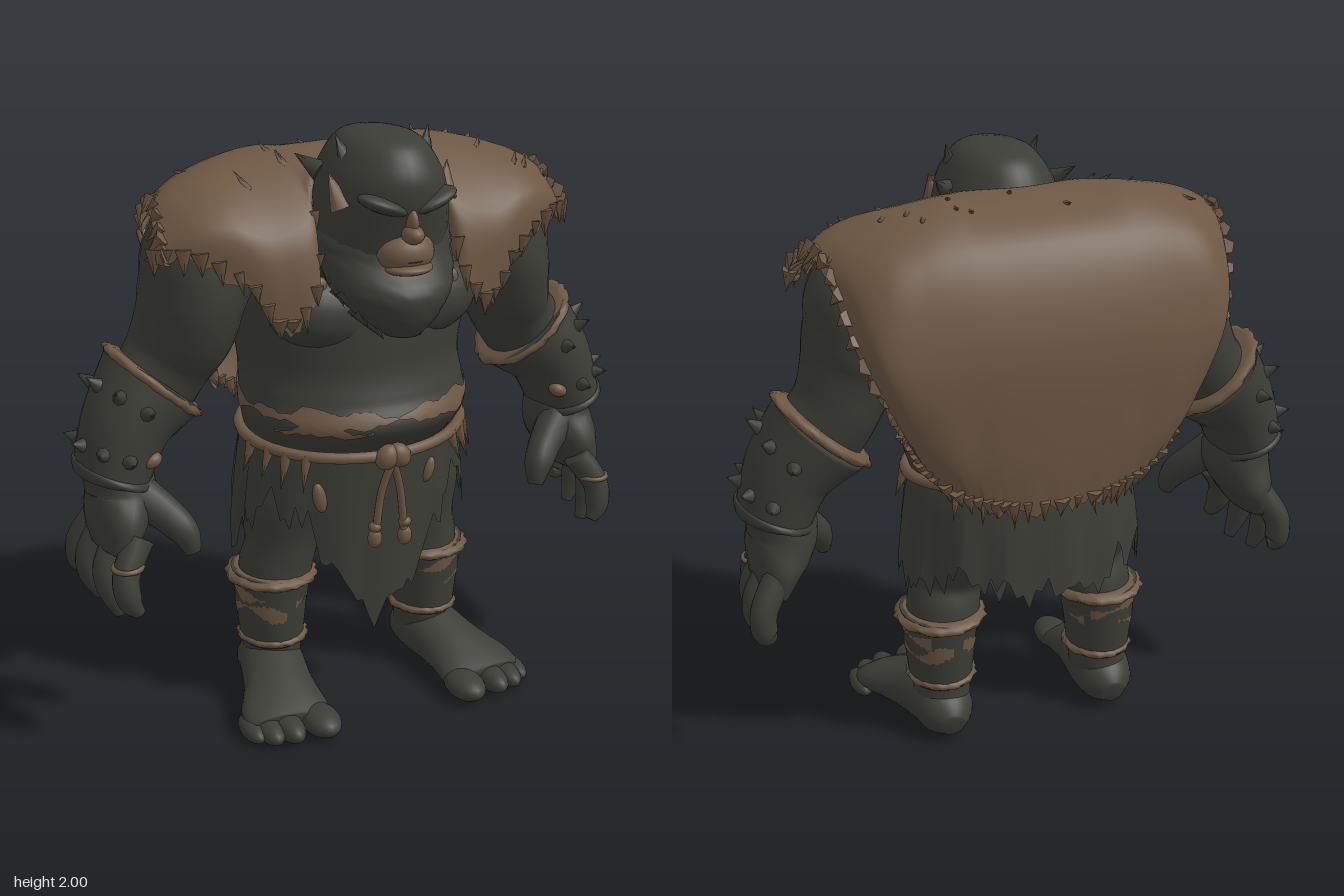
import * as THREE from 'three';
import { mergeGeometries } from 'three/addons/utils/BufferGeometryUtils.js';

const V = (x, y, z) => new THREE.Vector3(x, y, z);
const hash = (i) => { const s = Math.sin(i * 127.1 + 3.7) * 43758.5453; return s - Math.floor(s); };

// smooth value along rows of numbers, f in 0..1
function spline(rows, f) {
  const n = rows.length - 1, k = Math.min(Math.floor(f * n), n - 1), t = f * n - k;
  const at = (i) => rows[Math.max(0, Math.min(n, i))];
  const [a, b, c, d] = [at(k - 1), at(k), at(k + 1), at(k + 2)];
  return b.map((_, i) => 0.5 * (2 * b[i] + (c[i] - a[i]) * t + (2 * a[i] - 5 * b[i] + 4 * c[i] - d[i]) * t * t
    + (3 * b[i] - a[i] - 3 * c[i] + d[i]) * t * t * t));
}

// frame of a section: centre, side and front axes, radii; sections on the middle line stay level
function frame(rows, f) {
  const e = 0.01, c = spline(rows, f), p = spline(rows, Math.max(0, f - e)), q = spline(rows, Math.min(1, f + e));
  const t = V(q[0] - p[0], q[1] - p[1], q[2] - p[2]).normalize();
  if (Math.abs(c[0]) < 1e-6) t.set(0, Math.sign(t.y), 0);
  const u = V(1, 0, 0).addScaledVector(t, -t.x).normalize();
  return { c: V(c[0], c[1], c[2]), u, v: t.clone().cross(u), ru: c[3], rv: c[4] };
}
const onRing = (F, a, k = 1) => F.c.clone().addScaledVector(F.u, Math.cos(a) * F.ru * k).addScaledVector(F.v, Math.sin(a) * F.rv * k);

function surface(pos, idx) {
  const g = new THREE.BufferGeometry();
  g.setAttribute('position', new THREE.Float32BufferAttribute(pos, 3));
  g.setIndex(idx);
  g.computeVertexNormals();
  return g;
}

// closed skin over elliptical sections [x, y, z, ru, rv]
function loft(rows, { n = 24, seg = 24, rough = 0 } = {}) {
  const pos = [], idx = [], C = (seg + 1) * n;
  for (let i = 0; i <= seg; i++) {
    const F = frame(rows, i / seg);
    for (let j = 0; j < n; j++) pos.push(...onRing(F, j / n * Math.PI * 2, 1 + rough * (hash(i * n + j) - 0.5)).toArray());
  }
  pos.push(...rows[0].slice(0, 3), ...rows[rows.length - 1].slice(0, 3));
  for (let j = 0; j < n; j++) {
    const k = (j + 1) % n;
    for (let i = 0; i < seg; i++) {
      const a = i * n + j, b = i * n + k;
      idx.push(a, b, a + n, b, b + n, a + n);
    }
    idx.push(C, k, j, C + 1, seg * n + j, seg * n + k);
  }
  return surface(pos, idx);
}

// open sheet from a point rule over two parameters
function sheet(fn, nu, nv) {
  const pos = [], idx = [];
  for (let i = 0; i <= nu; i++) for (let j = 0; j <= nv; j++) pos.push(...fn(i / nu, j / nv, i));
  for (let i = 0; i < nu; i++) for (let j = 0; j < nv; j++) {
    const a = i * (nv + 1) + j, b = a + nv + 1;
    idx.push(a, a + 1, b, b, a + 1, b + 1);
  }
  return surface(pos, idx);
}

// ragged strip of hide lying on a loft: angles a0 to a1, middle height mid(a), half height half(a)
function strip(rows, a0, a1, mid, half) {
  const up = Math.sign(rows[rows.length - 1][1] - rows[0][1]);
  return sheet((u, v, i) => {
    const a = a0 + (a1 - a0) * u, y = mid(a) + (v - 0.5) * 2 * Math.max(0.003, half(a)) + 0.012 * (hash(i * 3 + Math.round(v)) - 0.5);
    let lo = 0, hi = 1;
    for (let k = 0; k < 16; k++) {
      const m = (lo + hi) / 2;
      if ((spline(rows, m)[1] - y) * up < 0) lo = m; else hi = m;
    }
    return onRing(frame(rows, lo), a, 1.015).toArray();
  }, Math.ceil((a1 - a0) * 16), 4);
}

// merged cones from base point p to tip q with radius r
function spikes(list, sides = 6) {
  return mergeGeometries(list.map(([p, q, r]) => {
    const d = q.clone().sub(p), g = new THREE.ConeGeometry(r, d.length(), sides);
    g.applyQuaternion(new THREE.Quaternion().setFromUnitVectors(V(0, 1, 0), d.clone().normalize()));
    return g.translate((p.x + q.x) / 2, (p.y + q.y) / 2, (p.z + q.z) / 2);
  }));
}
const ball = (x, y, z, a, b, c, rz = 0) => new THREE.SphereGeometry(1, 20, 14).scale(a, b, c).rotateZ(rz).translate(x, y, z);
const pair = (fn) => mergeGeometries([-1, 1].map(fn));

export function createModel() {
  const model = new THREE.Group();
  const dark = new THREE.MeshStandardMaterial({ color: 0x3c3d36, side: THREE.DoubleSide });
  dark.name = 'dark hide';
  const brown = new THREE.MeshStandardMaterial({ color: 0x6d5743, side: THREE.DoubleSide });
  brown.name = 'brown fur';
  const add = (name, geo, mat) => { const m = new THREE.Mesh(geo, mat); m.name = name; model.add(m); };

  // torso with a worn hide band around the belly
  const torso = [[0.78, -0.08, 0.3, 0.22], [0.92, -0.06, 0.35, 0.27], [1.04, -0.02, 0.385, 0.335], [1.13, -0.04, 0.385, 0.325], [1.22, -0.06, 0.38, 0.32],
    [1.35, -0.06, 0.405, 0.315], [1.5, -0.07, 0.44, 0.31], [1.62, -0.08, 0.42, 0.26], [1.71, -0.08, 0.32, 0.18], [1.76, -0.06, 0.15, 0.1]]
    .map(([y, z, a, b]) => [0, y, z, a, b]);
  add('torso', loft(torso, { n: 72, seg: 70 }), dark);
  add('bellyBand', strip(torso, 0, Math.PI * 2, (a) => 1.1 + 0.015 * Math.sin(a), (a) => 0.022 + 0.012 * Math.sin(a * 5) + 0.008 * Math.sin(a * 13)), brown);
  add('bandRemnant', strip(torso, 3.6, 4.5, (a) => 1.05 - 0.01 * Math.sin(a * 9), (a) => 0.018 * Math.sin((a - 3.6) * 3.5)), brown);
  add('chest', pair((s) => ball(s * 0.17, 1.42, 0.13, 0.2, 0.13, 0.125, s * 0.15)), dark);
  add('chestPatches', mergeGeometries([[0.21, 1.555, 0.19, 0.04], [0.24, 1.5, 0.21, 0.03], [-0.22, 1.53, 0.2, 0.025]]
    .map(([x, y, z, h]) => ball(x, y, z, 0.025, h, 0.02, 0))), brown);

  // head, brow, face, ears
  add('head', loft([[2, 0.17, 0.05, 0.07], [1.975, 0.17, 0.12, 0.175], [1.9, 0.17, 0.175, 0.235], [1.82, 0.165, 0.205, 0.25],
    [1.7, 0.155, 0.225, 0.23], [1.58, 0.16, 0.21, 0.2]].map(([y, z, a, b]) => [0, y, z, a, b]), { n: 32 }), dark);
  add('brow', pair((s) => ball(s * 0.08, 1.805, 0.365, 0.09, 0.026, 0.06, s * 0.35)), dark);
  add('muzzle', mergeGeometries([ball(0, 1.648, 0.345, 0.098, 0.07, 0.085), ball(0, 1.605, 0.375, 0.08, 0.022, 0.07)]), brown);
  add('mouth', ball(0, 1.633, 0.37, 0.06, 0.006, 0.062), dark);
  add('nose', mergeGeometries([ball(0, 1.715, 0.405, 0.034, 0.03, 0.045), ball(0, 1.75, 0.395, 0.02, 0.045, 0.035)]), brown);
  add('ears', spikes([-1, 1].map((s) => [V(s * 0.175, 1.785, 0.275), V(s * 0.205, 1.895, 0.235), 0.042]), 8), brown);
  add('headTufts', spikes([-1, 1].flatMap((s) => [[V(s * 0.13, 1.91, 0.22), V(s * 0.16, 2, 0.19), 0.03],
    [V(s * 0.18, 1.87, 0.12), V(s * 0.24, 1.92, 0.06), 0.035], [V(s * 0.2, 1.8, 0.1), V(s * 0.27, 1.83, 0.03), 0.04]])), dark);

  // beard with locks lying along its surface
  const beard = [[1.78, 0.12, 0.2, 0.18], [1.69, 0.15, 0.235, 0.205], [1.61, 0.185, 0.23, 0.2], [1.53, 0.255, 0.195, 0.195],
    [1.45, 0.305, 0.135, 0.135], [1.385, 0.34, 0.06, 0.06]].map(([y, z, a, b]) => [0, y, z, a, b]);
  add('beard', loft(beard, { n: 40, rough: 0.03 }), dark);
  const locks = [];
  for (let r = 0; r < 5; r++) for (let i = 0; i < 13; i++) {
    const a = (i + 0.5 * (r % 2)) / 12 * Math.PI, f = 0.12 + r * 0.16;
    const p = onRing(frame(beard, f), -a, 0.88), q = onRing(frame(beard, Math.min(1, f + 0.26)), -a, 1.03);
    if (p.z < 0.1) p.z = q.z = 0.1;
    if (r < 3 && Math.abs(p.x) < 0.14) continue;
    q.y -= 0.025 * hash(r * 13 + i);
    locks.push([p, q, 0.034]);
  }
  add('beardLocks', spikes(locks), dark);

  // fur cape: columns from the middle outwards, each from front hem over the shoulder to back hem
  const half = [
    [0, 1.88, -0.02, 0, 1.895, -0.05, 0, 1.91, -0.12, 0, 1.81, -0.34, 0, 1.54, -0.452, 0, 1.2, -0.45, 0, 0.95, -0.42],
    [0.2, 1.84, 0.12, 0.2, 1.87, 0.06, 0.2, 1.91, -0.1, 0.2, 1.81, -0.335, 0.2, 1.54, -0.448, 0.18, 1.2, -0.445, 0.15, 0.96, -0.41],
    [0.25, 1.54, 0.27, 0.25, 1.75, 0.2, 0.28, 1.91, -0.08, 0.3, 1.81, -0.33, 0.3, 1.53, -0.443, 0.27, 1.2, -0.435, 0.23, 0.98, -0.4],
    [0.36, 1.41, 0.26, 0.38, 1.7, 0.23, 0.39, 1.89, -0.06, 0.4, 1.8, -0.325, 0.42, 1.51, -0.433, 0.37, 1.2, -0.425, 0.31, 1.01, -0.38],
    [0.46, 1.55, 0.24, 0.5, 1.74, 0.2, 0.52, 1.86, -0.04, 0.52, 1.77, -0.315, 0.54, 1.5, -0.415, 0.46, 1.22, -0.39, 0.4, 1.08, -0.35],
    [0.61, 1.64, 0.18, 0.61, 1.74, 0.15, 0.62, 1.82, -0.04, 0.61, 1.73, -0.265, 0.59, 1.52, -0.37, 0.5, 1.28, -0.36, 0.44, 1.15, -0.33],
    [0.72, 1.64, 0.1, 0.71, 1.69, 0.08, 0.69, 1.77, -0.04, 0.66, 1.69, -0.19, 0.61, 1.5, -0.29, 0.52, 1.31, -0.29, 0.46, 1.2, -0.28]];
  const cols = [...half.slice(1).reverse().map((c) => c.map((v, i) => (i % 3 ? v : -v))), ...half];
  const capeAt = (u, v) => {
    const c = spline(cols, u), rows = [];
    for (let i = 0; i < c.length; i += 3) rows.push(c.slice(i, i + 3));
    return V(...spline(rows, v));
  };
  add('furCape', sheet((u, v, i) => {
    const p = capeAt(u, v), end = Math.max(0, v * 10 - 9, 1 - v * 12);
    p.y -= end * 0.05 * (hash(i) - 0.4);
    return p.toArray();
  }, 96, 48), brown);
  const tufts = [];
  const tuft = (u, v, du, dv, len, r, k) => {
    const p = capeAt(u, v), d = p.clone().sub(capeAt(u - du, v - dv)).normalize().add(V(0, -0.5 * hash(k + 9), 0)).normalize();
    tufts.push([p.clone().addScaledVector(d, -0.035), p.clone().addScaledVector(d, len * (0.2 + 1.2 * hash(k))), r * (0.7 + 0.6 * hash(k + 31))]);
  };
  for (let i = 0; i <= 34; i++) {
    const u = i / 34;
    tuft(u, 1, 0, 0.02, 0.04, 0.024, i);
    if (Math.abs(u - 0.5) > 0.1) tuft(u, 0, 0, -0.02, 0.04, 0.026, i + 90);
    if (i <= 19) for (const e of [0, 1]) tuft(e, i / 19, e ? 0.02 : -0.02, 0, 0.045, 0.026, i + 200 * e);
  }
  // loose tufts lying low on the shoulders
  for (let i = 0; i < 24; i++) {
    const u = 0.04 + 0.92 * hash(i + 5), v = 0.24 + 0.2 * hash(i + 77);
    const p = capeAt(u, v), q = capeAt(u + (u - 0.5) * 0.08, v + 0.03);
    tufts.push([p.add(V(0, -0.012, 0)), q.add(V(0, 0.02, 0)), 0.014]);
  }
  add('furTufts', spikes(tufts, 5), brown);

  // ragged loincloth with a long front flap
  const hem = [0.31, 0.46, 0.68, 0.76, 0.72, 0.6, 0.6, 0.67, 0.66, 0.63, 0.64].map((y) => [y]);
  add('loincloth', sheet((u, v, i) => {
    const a = (u * 2 - 1) * Math.PI, b = Math.abs(a) / Math.PI;
    const y0 = spline(hem, b)[0] + 0.1 * (hash(i % 120) - 0.5) + 0.03 * Math.sin(a * 17), f = 1 + 0.02 * v * Math.sin(a * 14);
    const rz = Math.cos(a) > 0 ? 0.28 - 0.03 * v : 0.28 + 0.05 * Math.sqrt(v);
    return [Math.sin(a) * (0.37 + 0.05 * Math.sqrt(v)) * f, 0.99 + (y0 - 0.99) * v, -0.05 + Math.cos(a) * rz * f];
  }, 120, 8), dark);
  add('loinclothPatches', mergeGeometries([ball(-0.21, 0.79, 0.17, 0.024, 0.055, 0.02, 0.2), ball(0.18, 0.83, 0.19, 0.02, 0.045, 0.02, -0.3)]), brown);

  // rope belt, knot, hanging ends and teeth
  const beltAt = (a) => V(Math.sin(a) * 0.385, 0.975 - 0.03 * Math.cos(a), -0.04 + Math.cos(a) * 0.31);
  const belt = Array.from({ length: 24 }, (_, i) => beltAt(i / 12 * Math.PI));
  add('ropeBelt', new THREE.TubeGeometry(new THREE.CatmullRomCurve3(belt, true), 96, 0.02, 8, true), brown);
  add('beltKnot', pair((s) => ball(s * 0.022, 0.945, 0.285, 0.038, 0.045, 0.035, s * 0.6)), brown);
  [[-0.05, 0.64], [0.06, 0.63]].forEach(([x, y]) => {
    const path = new THREE.CatmullRomCurve3([V(0, 0.93, 0.285), V(x * 0.6, 0.82, 0.265), V(x, y, 0.255)]);
    add('ropeEnd', mergeGeometries([new THREE.TubeGeometry(path, 16, 0.014, 8), ball(x, 0.69, 0.256, 0.022, 0.018, 0.022),
      ball(x, y + 0.01, 0.255, 0.025, 0.035, 0.022)]), brown);
  });
  add('beltTeeth', spikes([0.75, 0.95, 1.15, 1.4, 2.3, 2.55, 2.8].flatMap((a) => [a, -a]).map((a, i) => {
    const p = beltAt(a);
    return [p, V(p.x * 1.1, p.y - 0.1 - 0.03 * hash(i), p.z * 1.14), 0.022];
  })), brown);

  for (const s of [-1, 1]) {
    const side = s > 0 ? 'left' : 'right';
    const flip = (rows) => rows.map(([x, ...r]) => [s * x, ...r]);
    const limb = (name, rows, opt, mat = dark) => add(side + name, loft(flip(rows), opt), mat);

    // arm
    limb('Arm', [[0.36, 1.66, -0.06, 0.14, 0.19], [0.5, 1.61, -0.05, 0.19, 0.215], [0.55, 1.49, -0.05, 0.165, 0.23],
      [0.575, 1.39, -0.055, 0.155, 0.215], [0.63, 1.27, -0.075, 0.14, 0.175], [0.7, 1.17, -0.07, 0.14, 0.15], [0.78, 1.06, -0.05, 0.11, 0.12]], { n: 28, seg: 36 });

    // spiked bracer with fur edges
    const bracer = [[0.685, 1.195, -0.08, 0.185, 0.178], [0.785, 1.075, -0.06, 0.145, 0.165], [0.845, 0.92, -0.05, 0.122, 0.158]];
    limb('Bracer', bracer, { n: 32, seg: 20 });
    limb('BracerFur', [[0.672, 1.21, -0.08, 0.165, 0.16], [0.678, 1.203, -0.08, 0.192, 0.185], [0.69, 1.189, -0.08, 0.192, 0.185],
      [0.697, 1.181, -0.08, 0.165, 0.16]], { n: 40, seg: 6, rough: 0.07 }, brown);
    limb('BracerRim', [[0.838, 0.936, -0.05, 0.12, 0.15], [0.841, 0.928, -0.05, 0.13, 0.166], [0.848, 0.912, -0.05, 0.13, 0.166],
      [0.85, 0.905, -0.05, 0.11, 0.14]], { n: 32, seg: 6 });
    add(side + 'BracerSpikes', spikes([0.35, 0.75].flatMap((f) => [-1.1, -0.45, 0.2, 0.85, 1.5].map((a) => {
      const F = frame(bracer, f), p = onRing(F, a, 0.97), q = onRing(F, a, 1.34);
      return [V(s * p.x, p.y, p.z), V(s * q.x, q.y, q.z), 0.026];
    })), 8), dark);
    add(side + 'BracerPatch', ball(s * 0.75, 0.985, 0.075, 0.035, 0.025, 0.03, -s * 0.4), brown);

    // hand, thumb and fingers; the front fingers sit further inwards
    limb('Palm', [[0.84, 0.95, -0.05, 0.105, 0.12], [0.82, 0.86, -0.045, 0.115, 0.14], [0.845, 0.77, -0.035, 0.095, 0.175], [0.87, 0.68, -0.03, 0.06, 0.17]], {});
    limb('Thumb', [[0.79, 0.86, 0.02, 0.07, 0.07], [0.71, 0.79, 0.07, 0.058, 0.058], [0.66, 0.73, 0.11, 0.048, 0.05], [0.64, 0.665, 0.13, 0.025, 0.028]], { n: 14 });
    [[0.11, 0.51, -0.05], [0.025, 0.465, -0.02], [-0.07, 0.48, 0], [-0.155, 0.55, 0]].forEach(([z, y, dx]) => limb('Finger', [
      [0.865 + dx, 0.74, z, 0.05, 0.047], [0.925 + dx, 0.64, z * 1.25 + 0.01, 0.045, 0.045], [0.925 + dx, 0.56, z * 1.35 + 0.02, 0.041, 0.041],
      [0.895 + dx, y, z * 1.35 + 0.03, 0.02, 0.02]], { n: 14 }));
    add(side + 'FingerRing', new THREE.TorusGeometry(0.046, 0.009, 8, 18).rotateX(Math.PI / 2).translate(s * 0.868, 0.665, 0.145), brown);

    // leg and wrapped shin
    limb('Leg', [[0.18, 0.92, -0.07, 0.16, 0.2], [0.235, 0.72, -0.055, 0.17, 0.175], [0.26, 0.57, -0.04, 0.128, 0.122], [0.28, 0.46, -0.055, 0.125, 0.13],
      [0.285, 0.32, -0.06, 0.11, 0.12], [0.29, 0.2, -0.06, 0.1, 0.11], [0.3, 0.09, -0.07, 0.1, 0.11]], { n: 28, seg: 36 });
    const shin = flip([[0.29, 0.46, -0.06, 0.14, 0.148], [0.295, 0.38, -0.06, 0.125, 0.138], [0.295, 0.29, -0.06, 0.116, 0.128], [0.295, 0.2, -0.06, 0.106, 0.118]]);
    add(side + 'ShinWrap', loft(shin, { n: 48 }), dark);
    const out = s > 0 ? 0 : Math.PI;
    add(side + 'ShinStraps', mergeGeometries([
      strip(shin, out - 1, out + 2.2, (a) => 0.4 + 0.012 * Math.sin(a * 2), (a) => 0.012 + 0.01 * Math.sin(a * 5)),
      strip(shin, out - 1.6, out + 1.4, (a) => 0.34 + 0.015 * Math.sin(a * 3), (a) => 0.016 + 0.014 * Math.sin(a * 4)),
      strip(shin, out + 2.4, out + 4.4, (a) => 0.37 + 0.015 * Math.sin(a * 3), (a) => 0.015 + 0.014 * Math.sin(a * 5))]), brown);
    [[0.445, 0.142, 0.15], [0.215, 0.107, 0.116]].forEach(([y, a, b]) => limb('ShinFur', [[0.292, y + 0.024, -0.06, a - 0.02, b - 0.02],
      [0.292, y + 0.01, -0.06, a + 0.01, b + 0.01], [0.292, y - 0.008, -0.06, a + 0.01, b + 0.01], [0.292, y - 0.02, -0.06, a - 0.015, b - 0.015]],
    { n: 40, seg: 6, rough: 0.09 }, brown));

    // bare foot with a big toe set apart from the smaller toes
    limb('Foot', [[0.3, 0.07, -0.205, 0.04, 0.04], [0.3, 0.085, -0.15, 0.09, 0.082], [0.305, 0.105, -0.05, 0.11, 0.103], [0.335, 0.085, 0.09, 0.12, 0.083],
      [0.365, 0.06, 0.22, 0.15, 0.057], [0.375, 0.045, 0.29, 0.135, 0.04]], { n: 28 });
    add(side + 'Toes', mergeGeometries([[0.275, 0.305, 0.065, 0.046, 0.1], [0.385, 0.295, 0.047, 0.042, 0.095], [0.45, 0.28, 0.043, 0.038, 0.09], [0.498, 0.245, 0.038, 0.034, 0.085]]
      .map(([x, z, a, b, c]) => ball(s * x, b, z, a, b, c))), dark);
  }
  return model;
}
